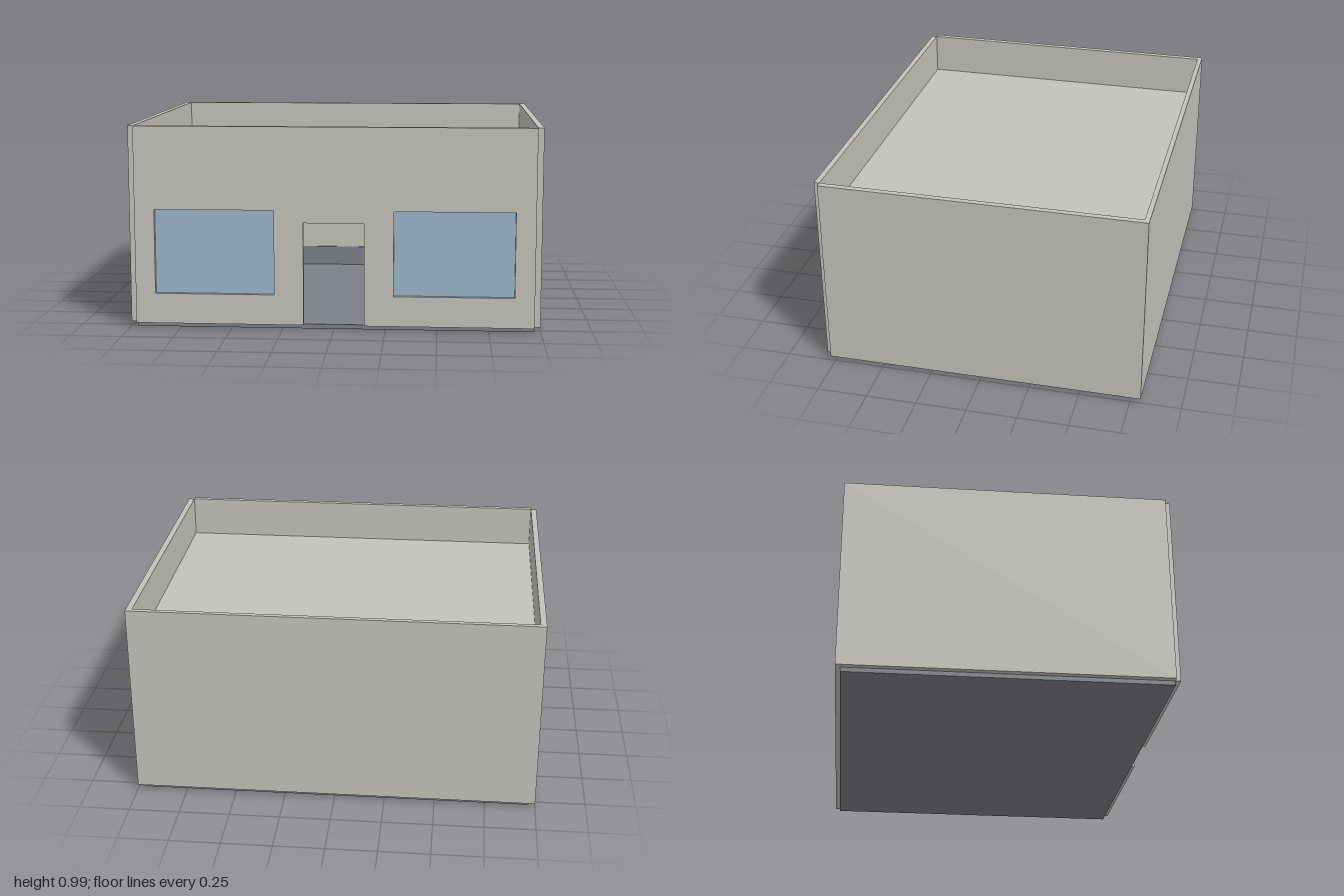
import * as THREE from 'three';

export function createModel() {
  const model = new THREE.Group();
  const paint = (name, color) => {
    const m = new THREE.MeshStandardMaterial({ color });
    m.name = name;
    return m;
  };
  const wall = paint('warmGreyWall', 0xc4c2bb);
  const floorGrey = paint('slateFloor', 0x7d8087);
  const glass = paint('blueGlass', 0x9ab6ca);

  const add = (name, geometry, material) => {
    const mesh = new THREE.Mesh(geometry, material);
    mesh.name = name;
    model.add(mesh);
    return mesh;
  };
  // Box given by its lower and upper bounds on each axis
  const box = (name, [x0, x1], [y0, y1], [z0, z1], material) => {
    const mesh = add(name, new THREE.BoxGeometry(x1 - x0, y1 - y0, z1 - z0), material);
    mesh.position.set((x0 + x1) / 2, (y0 + y1) / 2, (z0 + z1) / 2);
    return mesh;
  };
  const points = (list) => list.map(([x, y]) => new THREE.Vector2(x, y));

  const base = 0.022, top = 0.99;
  const inX = 0.97, backZ = -0.778, frontZ = 0.775, outZ = 0.802;

  // Floor slab with a low skirting along the back wall
  box('floorSlab', [-inX, inX], [0, base], [backZ, frontZ], floorGrey);
  box('backSkirting', [-inX, inX], [base, 0.13], [backZ, backZ + 0.008], floorGrey);

  // Back and side walls: one U-shaped plan raised to the parapet
  const plan = new THREE.Shape(points([
    [-1, -frontZ], [-inX, -frontZ], [-inX, -backZ], [inX, -backZ],
    [inX, -frontZ], [1, -frontZ], [1, outZ], [-1, outZ],
  ]));
  const shell = new THREE.ExtrudeGeometry(plan, { depth: top - base, bevelEnabled: false });
  shell.rotateX(-Math.PI / 2);
  add('backAndSideWalls', shell, wall).position.y = base;

  // Front wall with a doorway notch and two window openings
  const front = new THREE.Shape(points([
    [-inX, base], [-0.147, base], [-0.147, 0.525], [0.147, 0.525],
    [0.147, base], [inX, base], [inX, top], [-inX, top],
  ]));
  const windows = [[-0.873, -0.29], [0.29, 0.873]];
  const sill = 0.17, head = 0.585;
  for (const [a, b] of windows) {
    front.holes.push(new THREE.Path(points([[a, sill], [a, head], [b, head], [b, sill]])));
  }
  const frontGeometry = new THREE.ExtrudeGeometry(front, { depth: outZ - frontZ, bevelEnabled: false });
  add('frontWall', frontGeometry, wall).position.z = frontZ;

  // Recessed window panes
  windows.forEach((span, i) => {
    box(i ? 'leftWindowPane' : 'rightWindowPane', span, [sill, head], [frontZ, frontZ + 0.006], glass);
  });

  // Flat roof set below the parapet
  box('roof', [-inX, inX], [0.755, 0.78], [backZ, frontZ], wall);

  return model;
}
